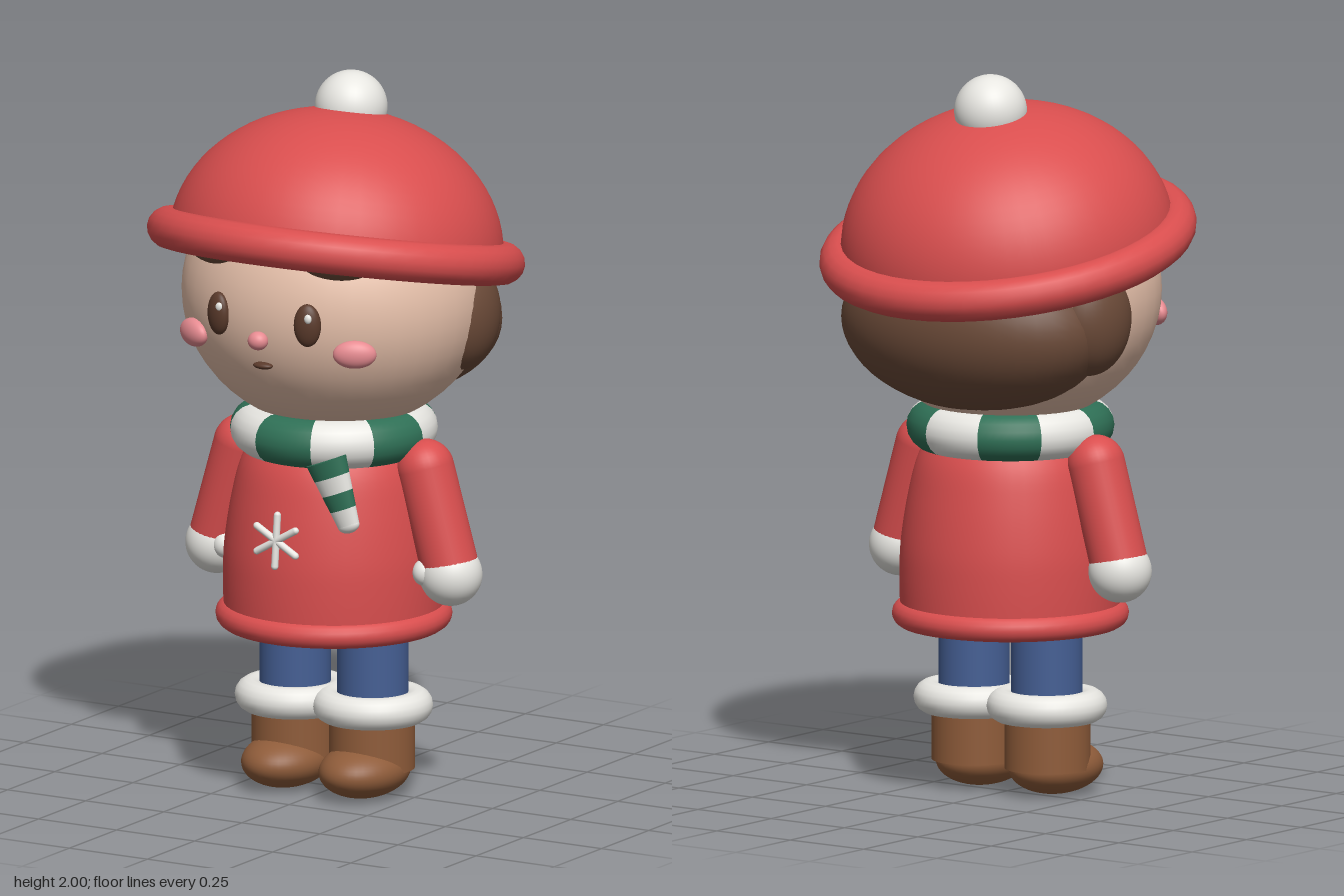
import * as THREE from 'three';

const mat = (name, color) => {
  const m = new THREE.MeshStandardMaterial({ color });
  m.name = name;
  return m;
};

export function createModel() {
  const red = mat('red wool', 0xd94e4e);
  const white = mat('white wool', 0xeeede8);
  const skin = mat('skin', 0xe6c0aa);
  const brown = mat('hair brown', 0x6b4a38);
  const dark = mat('eye brown', 0x5a3a2b);
  const pink = mat('blush pink', 0xe88c92);
  const green = mat('scarf green', 0x2f7056);
  const blue = mat('trouser blue', 0x455f94);
  const leather = mat('boot leather', 0x8f5c3a);

  const model = new THREE.Group();
  const cz = 0.013; // body axis

  const add = (name, geo, material, pos = [0, 0, 0], parent = model) => {
    const mesh = new THREE.Mesh(geo, material);
    mesh.name = name;
    mesh.position.set(...pos);
    parent.add(mesh);
    return mesh;
  };
  const ball = (name, material, pos, radii, parent) => {
    const mesh = add(name, new THREE.SphereGeometry(1, 40, 28), material, pos, parent);
    mesh.scale.set(...radii);
    return mesh;
  };
  const ring = (name, material, pos, R, r, parent) =>
    add(name, new THREE.TorusGeometry(R, r, 16, 48).rotateX(Math.PI / 2), material, pos, parent);

  // Head and hair
  ball('head', skin, [0, 1.4, 0], [0.43, 0.38, 0.41]);
  ball('backHair', brown, [0, 1.32, -0.15], [0.41, 0.24, 0.27]);
  ball('nose', pink, [0, 1.34, 0.415], [0.029, 0.026, 0.026]);
  ball('mouth', dark, [0, 1.265, 0.388], [0.03, 0.01, 0.018]);

  // Hat, tipped backwards
  const hat = new THREE.Group();
  hat.name = 'hat';
  hat.position.set(0, 1.525, 0.002);
  hat.rotation.x = -0.21;
  model.add(hat);
  const domeMat = red.clone();
  domeMat.side = THREE.DoubleSide;
  const dome = add('hatDome', new THREE.SphereGeometry(0.46, 48, 20, 0, Math.PI * 2, 0, Math.PI / 2), domeMat, [0, 0, 0], hat);
  dome.scale.y = 0.381 / 0.46;
  ring('hatBrim', red, [0, 0, 0], 0.465, 0.056, hat);
  ball('pompom', white, [0, 0.384, 0], [0.1, 0.1, 0.1], hat);

  // Striped scarf: ten alternating arcs, a green one at the front
  const step = Math.PI / 5;
  for (let i = 0; i < 10; i++) {
    const arc = new THREE.TorusGeometry(0.217, 0.068, 18, 8, step).rotateX(Math.PI / 2);
    arc.rotateY(-(Math.PI / 2 - step / 2 + i * step));
    add('scarfStripe', arc, i % 2 ? white : green, [0, 1.017, cz]);
  }
  // Hanging scarf end, narrowing downwards
  const tail = new THREE.Group();
  tail.name = 'scarfEnd';
  tail.position.set(0.122, 0.985, 0.255);
  tail.rotation.set(0.05, 0, 0.36);
  model.add(tail);
  const width = (i) => 0.064 - i * 0.0075;
  for (let i = 0; i < 4; i++) {
    const piece = add('scarfEndStripe', new THREE.CylinderGeometry(width(i), width(i + 1), 0.047, 24),
      i % 2 ? white : green, [0, -0.0235 - i * 0.047, 0], tail);
    piece.scale.z = 0.6;
  }
  ball('scarfTip', white, [0, -0.188, 0], [width(4), 0.022, width(4) * 0.6], tail);

  // Coat
  const outline = new THREE.SplineCurve([[0.302, 0.5], [0.304, 0.6], [0.3, 0.7], [0.28, 0.83], [0.25, 0.94], [0.19, 1.03]]
    .map((p) => new THREE.Vector2(...p)));
  const coat = [[0, 0.457], [0.26, 0.457]].map((p) => new THREE.Vector2(...p)).concat(outline.getPoints(24));
  // the flat base is its own mesh so its edge stays sharp
  add('coat', new THREE.LatheGeometry(coat.slice(1), 48), red, [0, 0, cz]);
  add('coatBase', new THREE.CircleGeometry(0.26, 48).rotateX(Math.PI / 2), red, [0, 0.457, cz]);
  ring('coatHem', red, [0, 0.495, cz], 0.29, 0.035);

  // Snowflake badge from three crossed bars
  for (let i = 0; i < 3; i++) {
    const bar = add('snowflakeBar', new THREE.CapsuleGeometry(0.01, 0.142, 6, 12), white, [0, 0.757, 0.319]);
    bar.rotation.z = (i * Math.PI) / 3;
    bar.rotation.x = i === 0 ? -0.1 : 0;
  }

  // Mirrored parts
  for (const s of [-1, 1]) {
    const side = s > 0 ? 'left' : 'right';
    ball(side + 'SideHair', brown, [s * 0.34, 1.36, -0.085], [0.11, 0.16, 0.13]);
    const fringe = ball(side + 'Fringe', brown, [s * 0.2, 1.575, 0.315], [0.115, 0.06, 0.06]);
    fringe.rotation.y = s * 0.4;
    const eye = ball(side + 'Eye', dark, [s * 0.142, 1.395, 0.388], [0.038, 0.06, 0.024]);
    eye.rotation.y = s * 0.33;
    ball(side + 'EyeGlint', white, [s * 0.142 + 0.013, 1.418, 0.407], [0.011, 0.013, 0.008]);
    const cheek = ball(side + 'Cheek', pink, [s * 0.257, 1.315, 0.328], [0.06, 0.039, 0.028]);
    cheek.rotation.y = s * 0.5;

    const top = new THREE.Vector3(s * 0.292, 0.937, cz);
    const hand = new THREE.Vector3(s * 0.373, 0.66, cz);
    const arm = add(side + 'Arm', new THREE.CapsuleGeometry(0.08, top.distanceTo(hand), 12, 32), red,
      top.clone().add(hand).multiplyScalar(0.5).toArray());
    arm.quaternion.setFromUnitVectors(new THREE.Vector3(0, 1, 0), top.clone().sub(hand).normalize());
    ball(side + 'Mitten', white, [s * 0.374, 0.647, cz], [0.087, 0.087, 0.087]);
    ball(side + 'Thumb', white, [s * 0.32, 0.655, 0.06], [0.034, 0.038, 0.036]);

    const x = s * 0.124;
    add(side + 'Leg', new THREE.CylinderGeometry(0.098, 0.098, 0.3, 36), blue, [x, 0.35, cz]);
    ring(side + 'BootCuff', white, [x, 0.25, cz], 0.121, 0.045);
    add(side + 'BootShaft', new THREE.CylinderGeometry(0.118, 0.118, 0.17, 36), leather, [x, 0.16, cz + 0.003]);
    ball(side + 'BootFoot', leather, [x, 0.075, 0.055], [0.116, 0.075, 0.152]);
  }
  return model;
}
